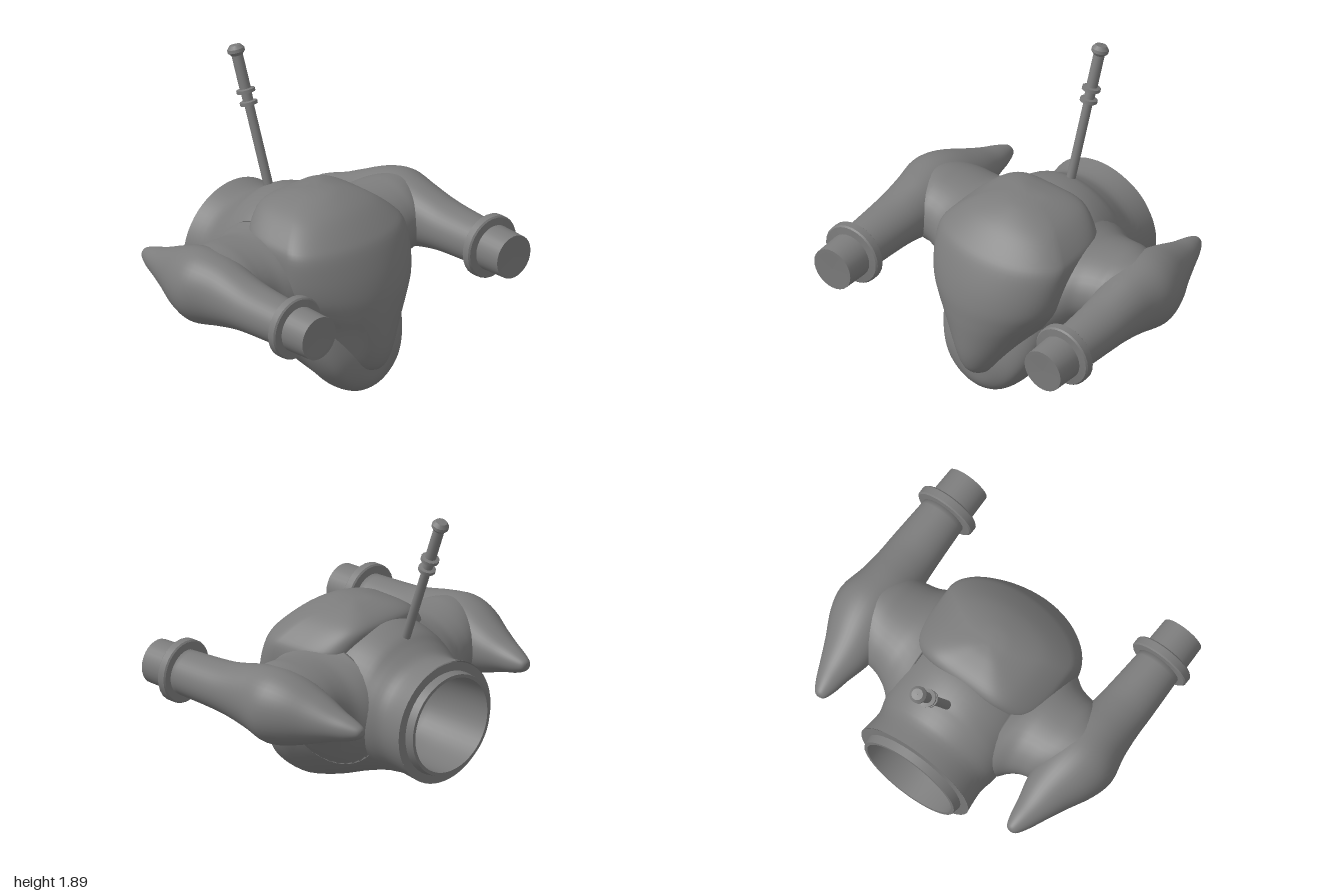
import * as THREE from 'three';

const material = new THREE.MeshStandardMaterial({ color: 0x7c7c7c, side: THREE.DoubleSide });

function add(parent, name, geometry) {
  const mesh = new THREE.Mesh(geometry, material);
  mesh.name = name;
  parent.add(mesh);
  return mesh;
}

// Catmull-Rom refinement of a list of station rows
function refine(rows, steps = 4) {
  const out = [];
  const at = i => rows[Math.min(rows.length - 1, Math.max(0, i))];
  for (let i = 0; i < rows.length - 1; i++) {
    for (let s = 0; s < steps; s++) {
      const t = s / steps;
      out.push(rows[i].map((b, c) => {
        const a = at(i - 1)[c], d = at(i + 1)[c], e = at(i + 2)[c];
        return b + 0.5 * t * (d - a + t * (2 * a - 5 * b + 4 * d - e + t * (3 * (b - d) + e - a)));
      }));
    }
  }
  out.push(rows[rows.length - 1]);
  return out;
}

// Smooth skin over closed cross-sections; point(row, cos, sin) gives [x, y, z]
function loft(stations, point, { sides = 40, capStart = true } = {}) {
  const rows = refine(stations), pos = [], idx = [];
  rows.forEach(row => {
    for (let j = 0; j < sides; j++) {
      const a = (j / sides) * Math.PI * 2;
      pos.push(...point(row, Math.cos(a), Math.sin(a)));
    }
  });
  for (let i = 0; i < rows.length - 1; i++) {
    for (let j = 0; j < sides; j++) {
      const a = i * sides + j, b = i * sides + (j + 1) % sides;
      idx.push(a, b, a + sides, b, b + sides, a + sides);
    }
  }
  const cap = (start, flip) => {
    const c = [0, 0, 0], n = pos.length / 3;
    for (let j = 0; j < sides; j++) for (let k = 0; k < 3; k++) c[k] += pos[(start + j) * 3 + k] / sides;
    pos.push(...c);
    for (let j = 0; j < sides; j++) {
      const a = start + j, b = start + (j + 1) % sides;
      idx.push(n, flip ? b : a, flip ? a : b);
    }
  };
  if (capStart) cap(0, true);
  cap((rows.length - 1) * sides, false);

  // Turn all faces outward using the signed volume about the middle
  const mid = new THREE.Vector3(), p = i => new THREE.Vector3().fromArray(pos, i * 3);
  for (let i = 0; i < pos.length / 3; i++) mid.addScaledVector(p(i), 3 / pos.length);
  let volume = 0;
  for (let i = 0; i < idx.length; i += 3) {
    const [a, b, c] = [0, 1, 2].map(k => p(idx[i + k]).sub(mid));
    volume += a.dot(b.cross(c));
  }
  if (volume < 0) idx.reverse();
  const g = new THREE.BufferGeometry();
  g.setAttribute('position', new THREE.Float32BufferAttribute(pos, 3));
  g.setIndex(idx);
  g.computeVertexNormals();
  return g;
}

const lathe = (profile, sides) => new THREE.LatheGeometry(profile.map(q => new THREE.Vector2(...q)), sides);

// Lathe with hard edges: every profile segment keeps its own normals
function turned(parent, name, profile, sides) {
  const group = new THREE.Group();
  group.name = name;
  for (let i = 0; i < profile.length - 1; i++) {
    add(group, name + 'Section', lathe(profile.slice(i, i + 2), sides));
  }
  parent.add(group);
  return group;
}

const mix = (lo, hi, t) => (lo + hi) / 2 + (hi - lo) / 2 * t;

export function createModel() {
  const model = new THREE.Group();
  model.name = 'pod';

  // Hull: round at the back, tapering to a drooping chin [z, bottom, top, halfWidth, taper]
  add(model, 'hull', loft([
    [-0.765, 0.23, 0.98, 0.392, 0], [-0.62, 0.245, 0.97, 0.378, 0],
    [-0.52, 0.235, 1.02, 0.4, 0.03], [-0.44, 0.22, 1.075, 0.41, 0.06],
    [-0.3, 0.18, 1.11, 0.43, 0.12], [-0.15, 0.125, 1.1, 0.435, 0.18],
    [0, 0.065, 1.05, 0.43, 0.22], [0.15, 0.018, 0.95, 0.4, 0.25],
    [0.25, 0, 0.8, 0.365, 0.2], [0.35, 0.012, 0.6, 0.315, 0.2],
    [0.42, 0.05, 0.42, 0.24, 0.15], [0.455, 0.11, 0.31, 0.13, 0.1], [0.46, 0.18, 0.24, 0.04, 0],
  ], ([z, bottom, top, w, k], c, s) => [w * c * (1 + k * s), mix(bottom, top, s), z],
  { sides: 56, capStart: false }));

  // Canopy: elliptical nose, squarer back [y, front, centre, back, halfWidth]
  const squared = v => Math.sign(v) * Math.abs(v) ** 0.45;
  add(model, 'canopy', loft([
    [0.188, 0.47, 0.42, 0.38, 0.03], [0.2, 0.495, 0.32, 0.25, 0.1],
    [0.25, 0.53, 0.23, 0.15, 0.17], [0.35, 0.552, 0.2, 0.05, 0.235],
    [0.5, 0.552, 0.2, -0.05, 0.325], [0.6, 0.545, 0.2, -0.1, 0.39],
    [0.7, 0.53, 0.2, -0.15, 0.44], [0.82, 0.49, 0.2, -0.2, 0.456],
    [0.95, 0.425, 0.18, -0.27, 0.452], [1.02, 0.365, 0.14, -0.295, 0.41],
    [1.1, 0.27, 0.08, -0.3, 0.32], [1.15, 0.185, 0.02, -0.24, 0.225],
    [1.185, 0.09, -0.02, -0.13, 0.11], [1.195, 0.01, -0.02, -0.05, 0.02],
  ], ([y, front, centre, back, w], c, s) => s > 0
    ? [w * c, y, centre + (front - centre) * s]
    : [w * squared(c), y, centre + (centre - back) * squared(s)], { sides: 64 }));

  // Exhaust: slightly oval stepped rim around a deep smooth hollow, turned about z
  const exhaust = turned(model, 'exhaust', [
    [0.37, 0.765], [0.318, 0.768], [0.31, 0.82], [0.29, 0.82],
  ], 48);
  add(exhaust, 'exhaustHollow', lathe([
    [0.29, 0.82], [0.285, 0.7], [0.275, 0.55], [0.255, 0.4], [0.21, 0.28], [0.12, 0.2], [0.001, 0.18],
  ], 48));
  exhaust.rotation.x = -Math.PI / 2;
  exhaust.scale.x = 1.06;
  exhaust.position.y = 0.602;

  // Arms and side pods, mirrored
  for (const side of [1, -1]) {
    const label = side > 0 ? 'left' : 'right';

    // Arm flares into the hull and the pod [x, front, back, bottom, top]
    add(model, label + 'Arm', loft([
      [0.32, 0.3, -0.56, 0.27, 1.02], [0.38, 0.28, -0.53, 0.34, 1.0],
      [0.45, 0.24, -0.475, 0.43, 0.99], [0.52, 0.19, -0.445, 0.505, 0.99],
      [0.6, 0.165, -0.43, 0.54, 0.995], [0.68, 0.15, -0.4, 0.545, 1.0],
      [0.78, 0.08, -0.34, 0.56, 0.99],
    ], ([x, front, back, bottom, top], c, s) => [side * x, mix(bottom, top, s), mix(back, front, c)]));

    // Pod with pointed tail [z, inner, outer, bottom, top]
    add(model, label + 'Pod', loft([
      [-0.768, 0.69, 0.72, 0.735, 0.765], [-0.75, 0.665, 0.745, 0.71, 0.785],
      [-0.68, 0.642, 0.785, 0.68, 0.815], [-0.58, 0.622, 0.83, 0.655, 0.85],
      [-0.45, 0.59, 0.89, 0.61, 0.91], [-0.3, 0.57, 0.965, 0.565, 0.975],
      [-0.16, 0.57, 0.997, 0.543, 1.002], [0, 0.59, 0.965, 0.575, 0.985],
      [0.15, 0.615, 0.95, 0.61, 0.95], [0.3, 0.63, 0.945, 0.63, 0.925],
      [0.6, 0.65, 0.93, 0.64, 0.91],
    ], ([z, inner, outer, bottom, top], c, s) => [side * mix(inner, outer, c), mix(bottom, top, s), z]));

    // Barrel tip with collar
    const tip = turned(model, label + 'Barrel', [
      [0.14, 0.572], [0.185, 0.575], [0.194, 0.583], [0.194, 0.628], [0.185, 0.637],
      [0.14, 0.642], [0.135, 0.815], [0.115, 0.815], [0.001, 0.812],
    ], 28);
    tip.rotation.x = Math.PI / 2;
    tip.position.set(side * 0.787, 0.778, 0);
  }

  // Antenna leaning back, with two rings and a knob
  const antenna = turned(model, 'antenna', [
    [0.028, -0.06], [0.028, 0.5], [0.053, 0.505], [0.053, 0.525], [0.032, 0.53],
    [0.032, 0.575], [0.056, 0.58], [0.056, 0.6], [0.034, 0.605], [0.034, 0.81],
    [0.052, 0.83], [0.052, 0.85], [0.035, 0.872], [0.001, 0.874],
  ], 14);
  antenna.position.set(0, 1.055, -0.45);
  antenna.rotation.x = -0.34;

  return model;
}
